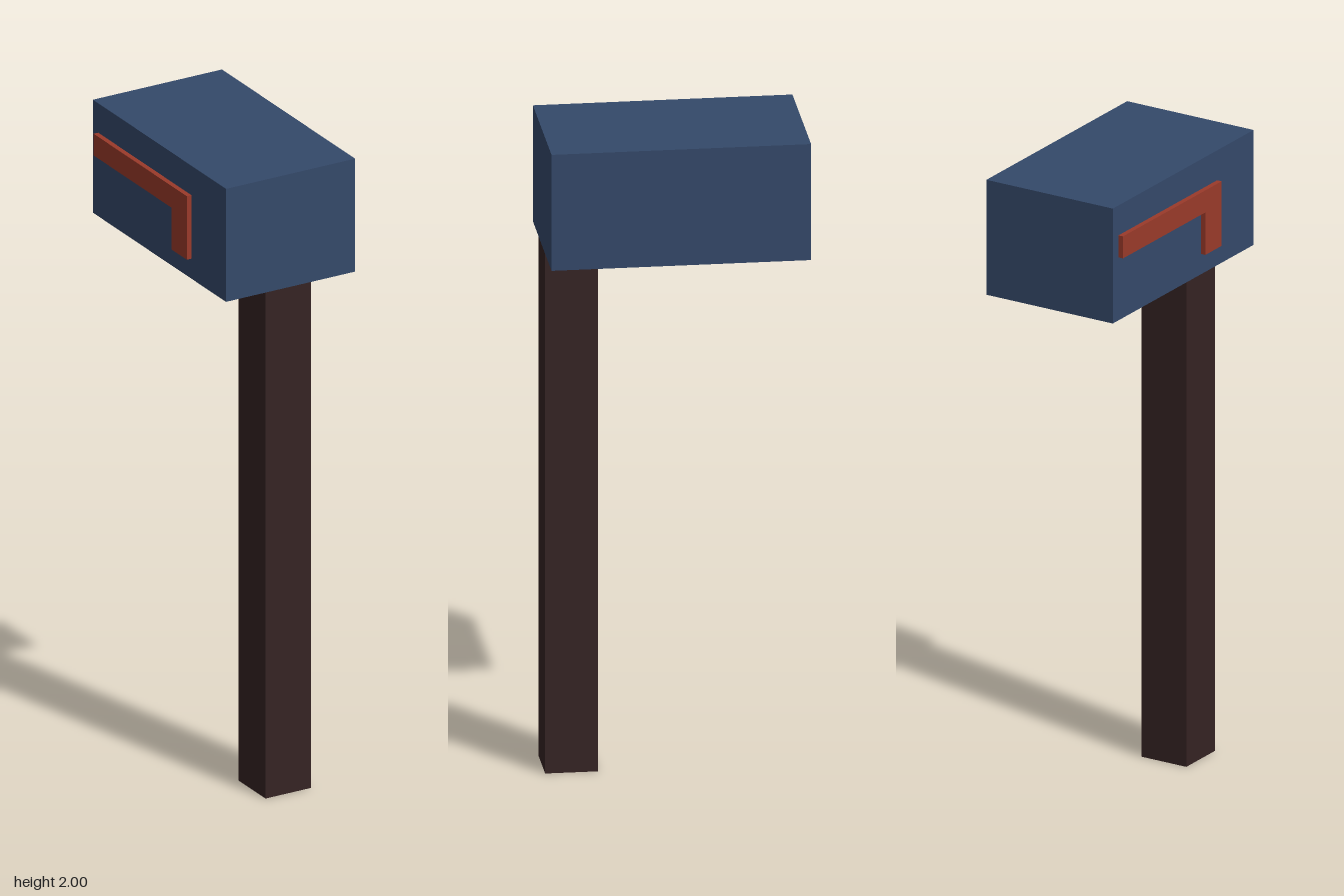
import * as THREE from 'three';

export function createModel() {
  const mat = (name, color) => {
    const m = new THREE.MeshStandardMaterial({ color });
    m.name = name;
    return m;
  };
  const blue = mat('slate blue', 0x34496a);
  const brown = mat('dark brown', 0x352323);
  const red = mat('brick red', 0x9a3a2a);

  const model = new THREE.Group();
  model.name = 'mailbox';

  // Box spanning two opposite corners
  const addBox = (name, material, [x0, y0, z0], [x1, y1, z1]) => {
    const mesh = new THREE.Mesh(new THREE.BoxGeometry(x1 - x0, y1 - y0, z1 - z0), material);
    mesh.position.set((x0 + x1) / 2, (y0 + y1) / 2, (z0 + z1) / 2);
    mesh.name = name;
    model.add(mesh);
  };

  // Square post under the front end, and the box on top of it
  addBox('post', brown, [-0.079, 0, 0.23], [0.078, 1.635, 0.388]);
  addBox('letterBox', blue, [-0.215, 1.635, -0.388], [0.23, 2, 0.388]);

  // L-shaped signal flag on the right side, drawn in (z, y) and turned to face -x
  const outline = [
    [-0.357, 1.905], [-0.357, 1.835], [0.097, 1.835],
    [0.097, 1.7], [0.187, 1.7], [0.187, 1.905],
  ].map(([z, y]) => new THREE.Vector2(z, y));
  const flag = new THREE.Mesh(
    new THREE.ExtrudeGeometry(new THREE.Shape(outline), { depth: 0.016, bevelEnabled: false }),
    red
  );
  flag.rotation.y = -Math.PI / 2;
  flag.position.x = -0.215;
  flag.name = 'signalFlag';
  model.add(flag);

  return model;
}
